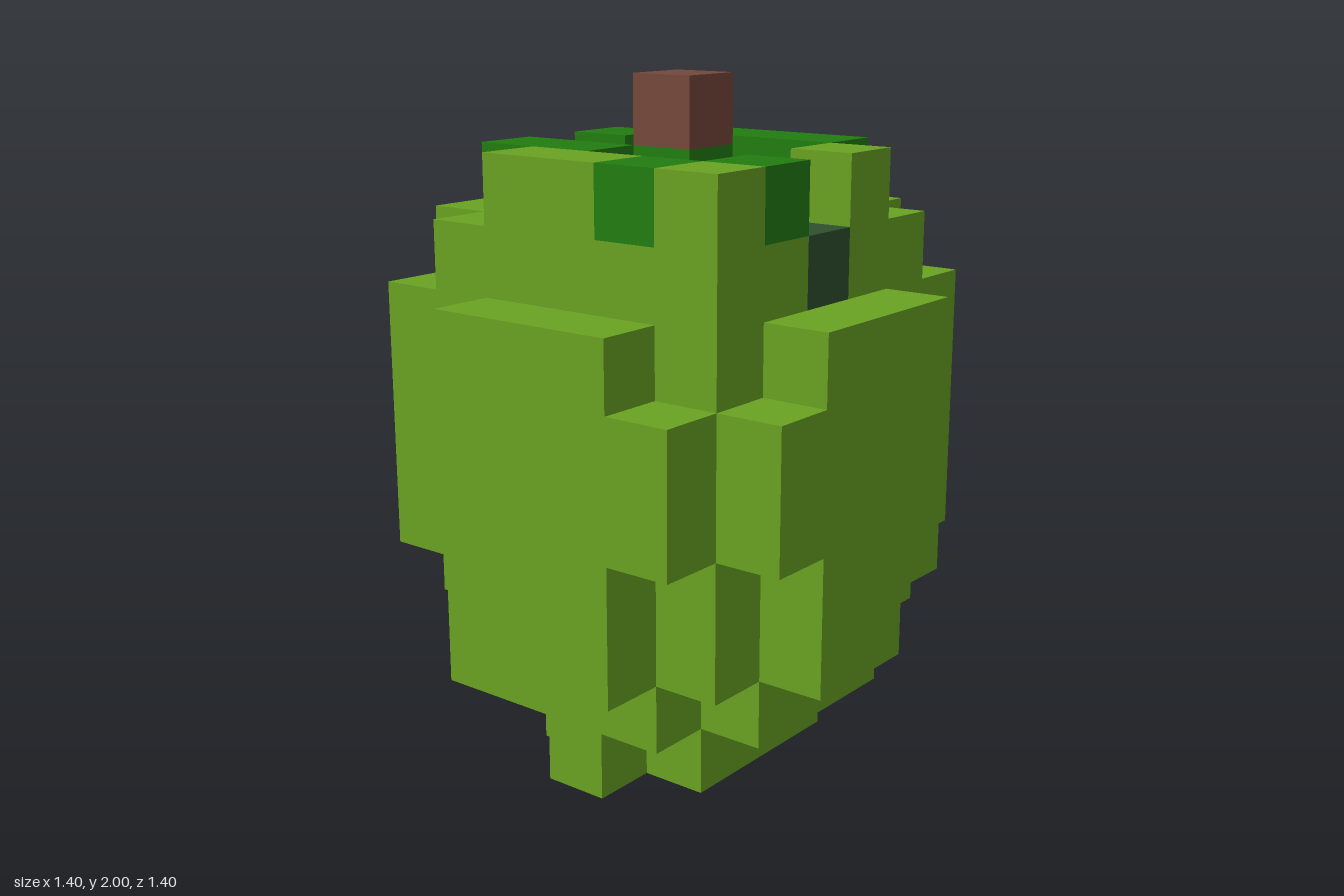
import * as THREE from 'three';
import { mergeGeometries } from 'three/addons/utils/BufferGeometryUtils.js';

const U = 0.2; // block size

const leafGreen = new THREE.MeshStandardMaterial({ color: 0x69a222, name: 'leafGreen' });
const darkGreen = new THREE.MeshStandardMaterial({ color: 0x217c11, name: 'darkGreen' });
const slateGreen = new THREE.MeshStandardMaterial({ color: 0x2f5030, name: 'slateGreen' });
const stemBrown = new THREE.MeshStandardMaterial({ color: 0x75473b, name: 'stemBrown' });

// Box covering blocks x0..x1, y0..y1, z0..z1 inclusive (7 x 10 x 7 grid, z 6 = front)
function blocks([x0, x1, y0, y1, z0, z1]) {
  const g = new THREE.BoxGeometry((x1 - x0 + 1) * U, (y1 - y0 + 1) * U, (z1 - z0 + 1) * U);
  g.translate(((x0 + x1) / 2 - 3) * U, ((y0 + y1 + 1) / 2) * U, ((z0 + z1) / 2 - 3) * U);
  return g;
}

function part(name, material, list) {
  const mesh = new THREE.Mesh(mergeGeometries(list.map(blocks)), material);
  mesh.name = name;
  return mesh;
}

// One layer of the crown; rows run back to front, columns from x 1 to x 5
function layer(name, y, rows) {
  const group = new THREE.Group();
  group.name = name;
  const kinds = { L: ['Light', leafGreen], D: ['Dark', darkGreen], S: ['Slate', slateGreen] };
  for (const [key, [suffix, material]] of Object.entries(kinds)) {
    const list = [];
    rows.forEach((row, r) => [...row].forEach((c, i) => {
      if (c === key) list.push([i + 1, i + 1, y, y, r + 1, r + 1]);
    }));
    if (list.length) group.add(part(name + suffix, material, list));
  }
  return group;
}

export function createModel() {
  const model = new THREE.Group();
  model.name = 'fruit';

  model.add(
    // underside, stepping in towards the ground
    part('base', leafGreen, [[2, 4, 0, 0, 2, 4], [1, 1, 0, 0, 3, 3]]),
    part('lowerBody', leafGreen, [
      [1, 4, 1, 1, 1, 1], [1, 5, 1, 1, 2, 4], [2, 4, 1, 1, 5, 5], [6, 6, 1, 1, 3, 3],
    ]),
    part('body', leafGreen, [[1, 5, 2, 6, 1, 5]]),

    // bulging side panels
    part('frontPanel', leafGreen, [
      [2, 3, 2, 2, 6, 6], [2, 4, 3, 6, 6, 6], [1, 1, 4, 5, 6, 6],
    ]),
    part('backPanel', leafGreen, [
      [2, 4, 2, 7, 0, 0], [1, 1, 3, 6, 0, 0], [5, 5, 3, 6, 0, 0],
    ]),
    part('leftPanel', leafGreen, [
      [6, 6, 2, 7, 2, 4], [6, 6, 3, 5, 1, 1], [6, 6, 3, 6, 5, 5],
    ]),
    part('rightPanel', leafGreen, [
      [0, 0, 3, 6, 2, 2], [0, 0, 2, 6, 3, 4], [0, 0, 4, 5, 5, 5],
    ]),

    // crown hollow and its raised rim
    layer('crownFloor', 7, ['LLLLL', 'LLDSL', 'LDLDL', 'LDLDL', 'LLSLL']),
    layer('crownRim', 8, ['.D.D.', 'LD..D', 'L.D.D', 'D...D', 'LD.L.']),
    part('stem', stemBrown, [[3, 3, 9, 9, 3, 3]]),
  );
  return model;
}
